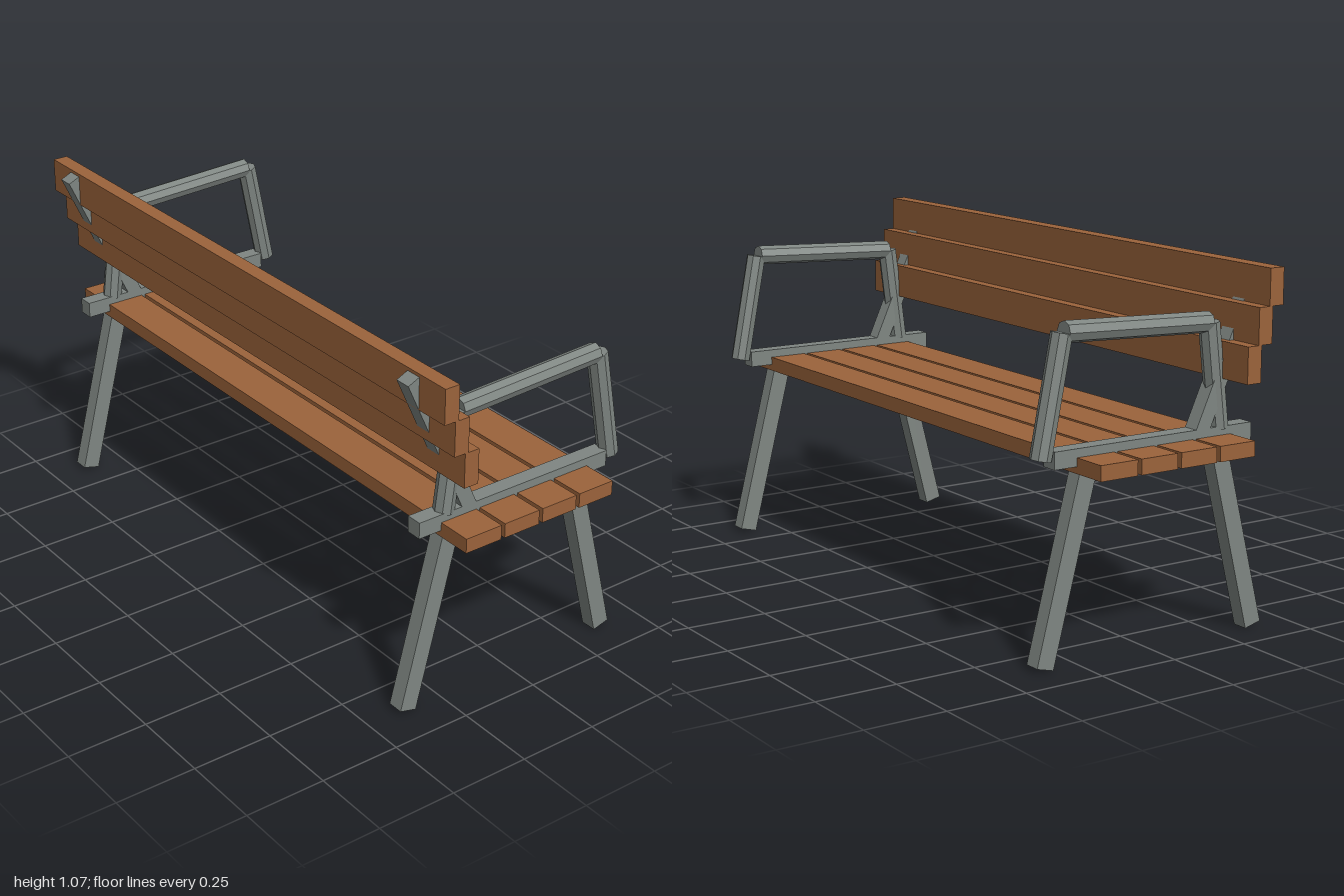
import * as THREE from 'three';

export function createModel() {
  const model = new THREE.Group();
  model.name = 'bench';

  const wood = new THREE.MeshStandardMaterial({ color: 0x9b633b });
  wood.name = 'wood';
  const metal = new THREE.MeshStandardMaterial({ color: 0x7f8682, flatShading: true });
  metal.name = 'greyMetal';

  // Box from its extents in y and z, centred on x
  function slab(parent, name, material, width, y0, y1, z0, z1) {
    const mesh = new THREE.Mesh(new THREE.BoxGeometry(width, y1 - y0, z1 - z0), material);
    mesh.position.set(0, (y0 + y1) / 2, (z0 + z1) / 2);
    mesh.name = name;
    parent.add(mesh);
  }

  // Bar running between two [z, y] points, lying in the side plane
  function bar(parent, name, geometryFor, [z0, y0], [z1, y1]) {
    const dz = z1 - z0, dy = y1 - y0;
    const mesh = new THREE.Mesh(geometryFor(Math.hypot(dz, dy)), metal);
    mesh.position.set(0, (y0 + y1) / 2, (z0 + z1) / 2);
    mesh.rotation.x = Math.atan2(dz, dy);
    mesh.name = name;
    parent.add(mesh);
  }
  const square = (depth) => (length) => new THREE.BoxGeometry(0.05, length, depth);
  const octagon = (length) => new THREE.CylinderGeometry(0.031, 0.031, length, 8);

  // Seat slats
  for (let i = 0; i < 4; i++) {
    const z = -0.263 + i * 0.1365;
    slab(model, 'seatSlat', wood, 2, 0.543, 0.588, z, z + 0.124);
  }

  // Stepped backrest slats
  for (let i = 0; i < 3; i++) {
    const y = 0.75 + i * 0.1065, z = 0.237 + i * 0.0368;
    slab(model, 'backSlat', wood, 2, y, y + 0.1065, z, z + 0.048);
  }

  // Matching metal frames near each end
  for (const side of [1, -1]) {
    const frame = new THREE.Group();
    frame.name = side > 0 ? 'leftFrame' : 'rightFrame';
    frame.position.x = side * 0.867;

    slab(frame, 'seatRail', metal, 0.05, 0.563, 0.613, -0.338, 0.347);
    bar(frame, 'backrestLeg', square(0.056), [0.373, 0.007], [0.227, 0.574]);
    bar(frame, 'openSideLeg', square(0.056), [-0.363, 0.007], [-0.217, 0.574]);
    bar(frame, 'backSupport', square(0.046), [0.16, 0.585], [0.374, 1.053]);

    // Octagonal armrest and its posts
    bar(frame, 'armrest', octagon, [0.202, 0.911], [-0.293, 0.931]);
    bar(frame, 'armrestRearPost', octagon, [0.244, 0.605], [0.205, 0.911]);
    bar(frame, 'armrestEndPost', octagon, [-0.367, 0.589], [-0.3, 0.93]);
    model.add(frame);
  }
  return model;
}
